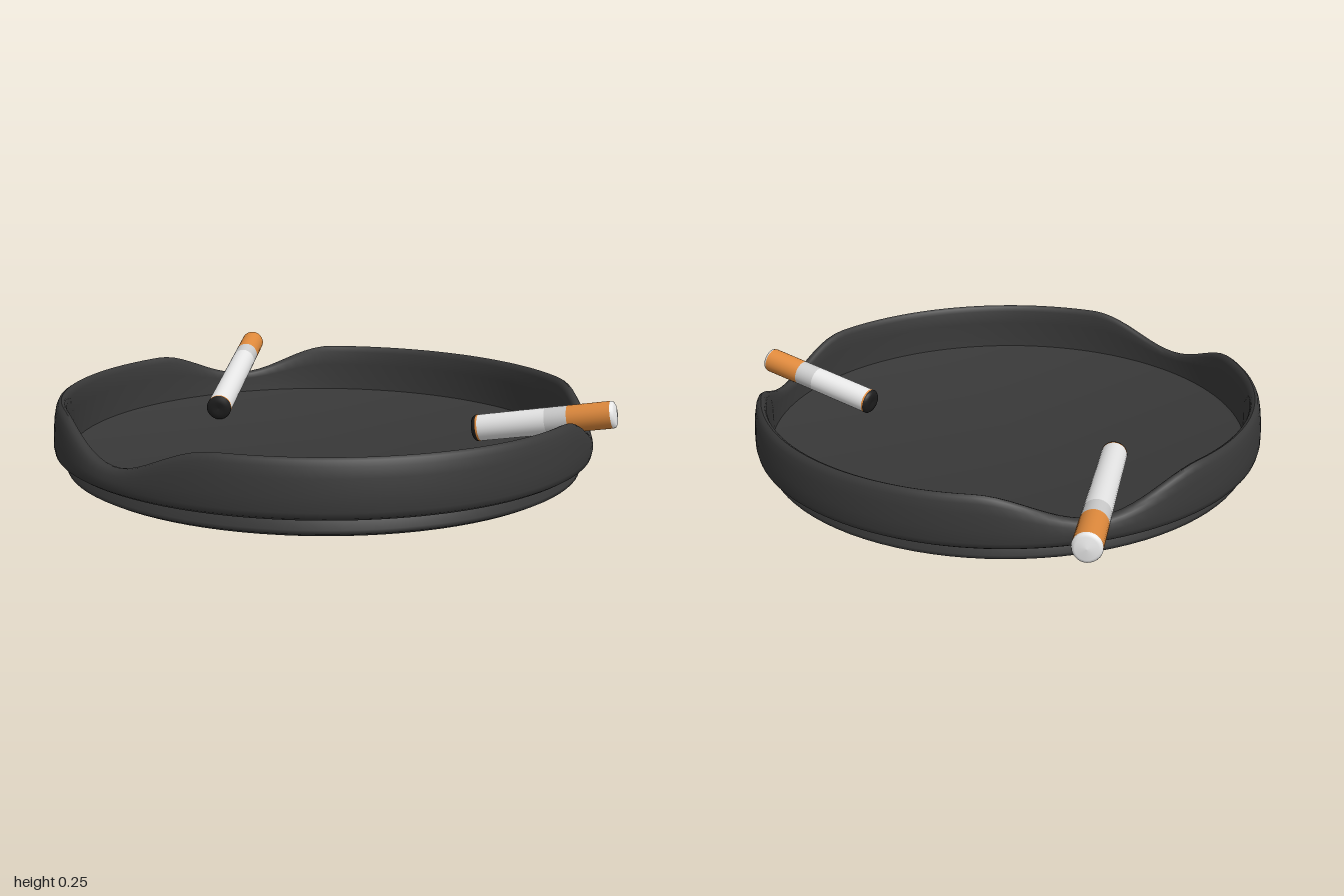
import * as THREE from 'three';
import { mergeVertices, toCreasedNormals } from 'three/addons/utils/BufferGeometryUtils.js';

const mat = (name, color) => {
  const m = new THREE.MeshStandardMaterial({ color });
  m.name = name;
  return m;
};

const pts = (list) => list.map(([r, y]) => new THREE.Vector2(r, y));

export function createModel() {
  const black = mat('charcoal', 0x383838);
  const orange = mat('filter orange', 0xe08a3c);
  const white = mat('paper white', 0xe8e8e8);
  const grey = mat('band grey', 0xcccccc);
  const ash = mat('ash', 0x1e1e1e);

  const model = new THREE.Group();
  model.name = 'ashtray';
  const add = (parent, name, geometry, material) => {
    const mesh = new THREE.Mesh(geometry, material);
    mesh.name = name;
    parent.add(mesh);
    return mesh;
  };

  const tray = new THREE.Group();
  tray.name = 'tray';
  tray.position.z = 0.13;
  model.add(tray);

  // Foot: shallow disc with a rounded, slightly flared lower edge
  const foot = new THREE.LatheGeometry(pts([
    [0, 0], [0.76, 0.004], [0.81, 0.01], [0.828, 0.02], [0.83, 0.032], [0.817, 0.06], [0.81, 0.075],
  ]), 96);
  add(tray, 'foot', foot, black);

  // Rim wall and floor, from underside round the lip to the centre of the floor
  const rim = new THREE.LatheGeometry(pts([
    [0.80, 0.065], [0.85, 0.066], [0.862, 0.074], [0.865, 0.09], [0.864, 0.13], [0.859, 0.18],
    [0.853, 0.21], [0.846, 0.225], [0.836, 0.231], [0.826, 0.226], [0.82, 0.21], [0.819, 0.16],
    [0.818, 0.1], [0.815, 0.062], [0.805, 0.058], [0, 0.058],
  ]), 144);

  // Three smooth rests pressed into the rim (angles from +x towards +z)
  const rests = [33, 157, 270];
  const halfWidth = 25, low = 0.09;
  const p = rim.attributes.position;
  for (let i = 0; i < p.count; i++) {
    const y = p.getY(i);
    if (y <= low) continue;
    const angle = THREE.MathUtils.radToDeg(Math.atan2(p.getZ(i), p.getX(i)));
    let dip = 0;
    for (const rest of rests) {
      const d = Math.abs(((angle - rest + 540) % 360) - 180);
      if (d < halfWidth) dip = 0.5 + 0.5 * Math.cos(Math.PI * d / halfWidth);
    }
    p.setY(i, low + (y - low) * (1 - 0.67 * dip));
  }
  rim.deleteAttribute('uv');
  rim.deleteAttribute('normal');
  add(tray, 'rimAndFloor', toCreasedNormals(mergeVertices(rim), 0.9), black);

  // Cigarette running from its burnt end to its filter end
  const cigarette = (name, burnt, end, filter, band) => {
    const a = new THREE.Vector3(...burnt), b = new THREE.Vector3(...end);
    const length = a.distanceTo(b), r = 0.043;
    const g = new THREE.Group();
    g.name = name;
    g.position.copy(a);
    g.quaternion.setFromUnitVectors(new THREE.Vector3(0, 1, 0), b.clone().sub(a).normalize());
    const tube = (part, from, to, material) => {
      const geo = new THREE.CylinderGeometry(r, r, to - from, 28, 1, true);
      add(g, part, geo.translate(0, (from + to) / 2, 0), material);
    };
    add(g, 'burntTip', new THREE.LatheGeometry(pts([
      [0, 0.002], [0.02, -0.002], [0.036, 0], [r, 0.008], [r, 0.014],
    ]), 28), ash);
    tube('ember', 0.014, 0.02, orange);
    tube('paper', 0.02, length - filter - band, white);
    tube('band', length - filter - band, length - filter, grey);
    tube('filter', length - filter, length - 0.012, orange);
    add(g, 'filterEnd', new THREE.LatheGeometry(pts([
      [r, length - 0.012], [0.04, length - 0.004], [0.032, length], [0, length + 0.004],
    ]), 28), white);
    model.add(g);
  };
  cigarette('longCigarette', [-0.235, 0.102, -0.265], [0.142, 0.21, -0.975], 0.18, 0.08);
  cigarette('shortCigarette', [0.433, 0.115, 0.367], [0.745, 0.203, 0.683], 0.145, 0.07);

  return model;
}
